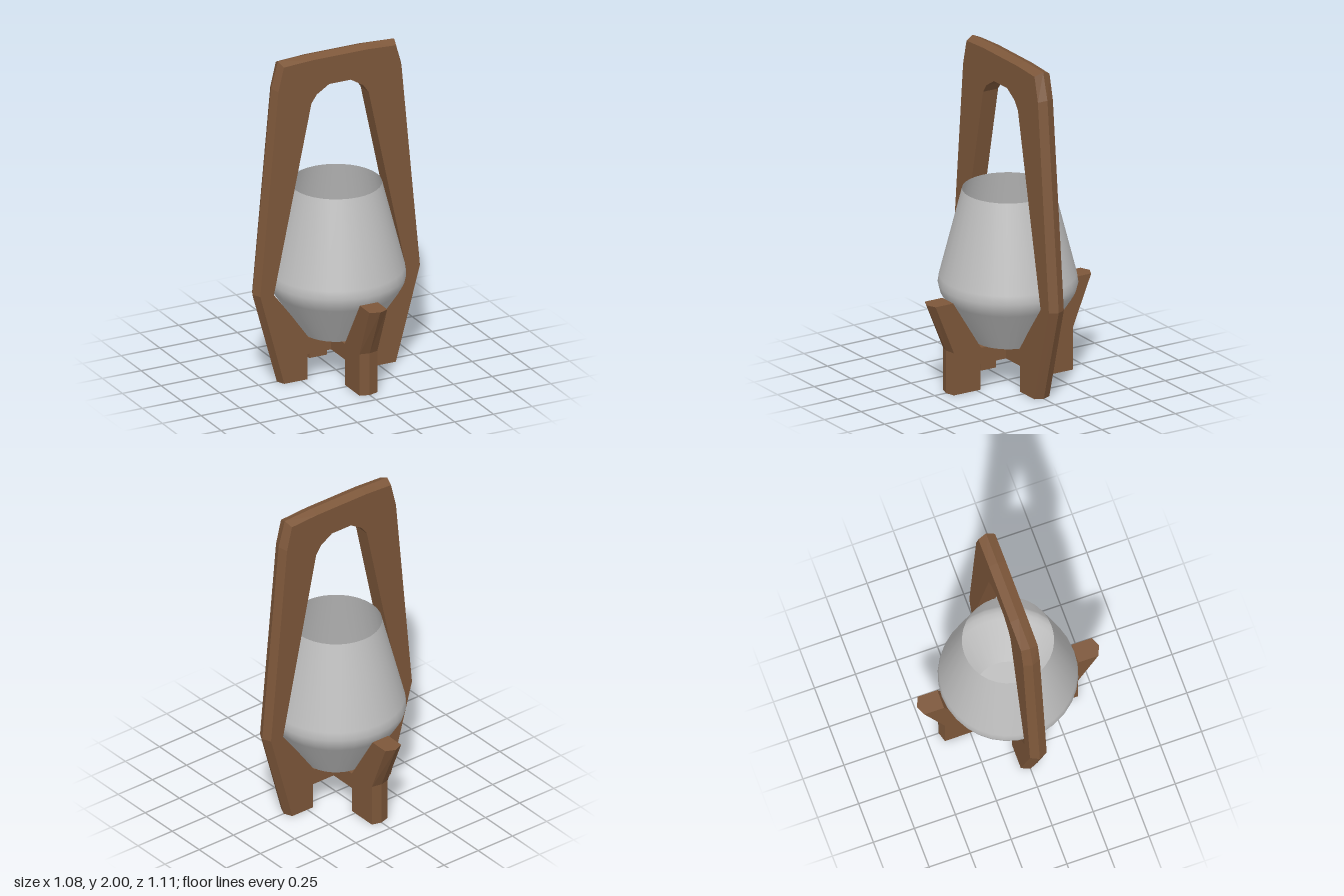
import * as THREE from 'three';

const wood = new THREE.MeshStandardMaterial({ name: 'brown wood', color: 0x7d573a });
const glass = new THREE.MeshStandardMaterial({ name: 'grey glass', color: 0xc0c0c0, side: THREE.DoubleSide });

const mirror = (pts) => pts.map(([x, y, px, py]) => [-x, y, px === undefined ? undefined : -px, py]).reverse();

// Plate whose outer edge rises to a ridge along the middle of its thickness.
// Points are [x, y] or [x, y, ridgeX, ridgeY].
function ridgedPlate(outline, hole, thickness) {
  const shape = new THREE.Shape(outline.map(([x, y]) => new THREE.Vector2(x, y)));
  if (hole) shape.holes.push(new THREE.Path(hole.map(([x, y]) => new THREE.Vector2(x, y))));
  const geo = new THREE.ExtrudeGeometry(shape, { depth: thickness, steps: 2, bevelEnabled: false });
  geo.translate(0, 0, -thickness / 2);
  const pos = geo.attributes.position;
  for (let i = 0; i < pos.count; i++) {
    if (Math.abs(pos.getZ(i)) > 0.001) continue;
    const p = outline.find(([x, y]) => Math.hypot(x - pos.getX(i), y - pos.getY(i)) < 0.001);
    if (p && p[2] !== undefined) pos.setXY(i, p[2], p[3]);
  }
  geo.computeVertexNormals();
  return geo;
}

export function createModel() {
  const group = new THREE.Group();
  const add = (name, geo, mat) => {
    const mesh = new THREE.Mesh(geo, mat);
    mesh.name = name;
    group.add(mesh);
    return mesh;
  };

  // Tall frame with handle and two feet
  const side = [
    [0.21, 0.157], [0.21, 0], [0.36, 0, 0.382, 0], [0.515, 0.57, 0.54, 0.57],
    [0.398, 1.82, 0.42, 1.83], [0.362, 1.968, 0.375, 1.99], [0.18, 1.978, 0.18, 1.997],
  ];
  const opening = [
    [0.2, 0.255], [0.31, 0.41], [0.427, 0.565], [0.185, 1.71], [0.15, 1.76], [0.07, 1.81],
  ];
  add('handleFrame', ridgedPlate([...side, ...mirror(side)], [...opening, ...mirror(opening)], 0.102), wood);

  // Cross bracket with a front and a back foot
  const arm = [
    [0.223, 0.157], [0.223, 0], [0.405, 0, 0.422, 0], [0.405, 0.257, 0.422, 0.26],
    [0.53, 0.562, 0.555, 0.562], [0.41, 0.562], [0.22, 0.255],
  ];
  add('crossBracket', ridgedPlate([...arm, ...mirror(arm)], null, 0.115), wood).rotation.y = -Math.PI / 2;

  // Thin open vase with a flat floor
  const profile = [
    [0.2, 0.257], [0.37, 0.515], [0.393, 0.555], [0.404, 0.6], [0.397, 0.65], [0.265, 1.17],
  ].map(([r, y]) => new THREE.Vector2(r, y));
  add('vaseWall', new THREE.LatheGeometry(profile, 32), glass);
  const floor = add('vaseFloor', new THREE.CircleGeometry(0.2, 32), glass);
  floor.rotation.x = -Math.PI / 2;
  floor.position.y = 0.259;

  return group;
}
